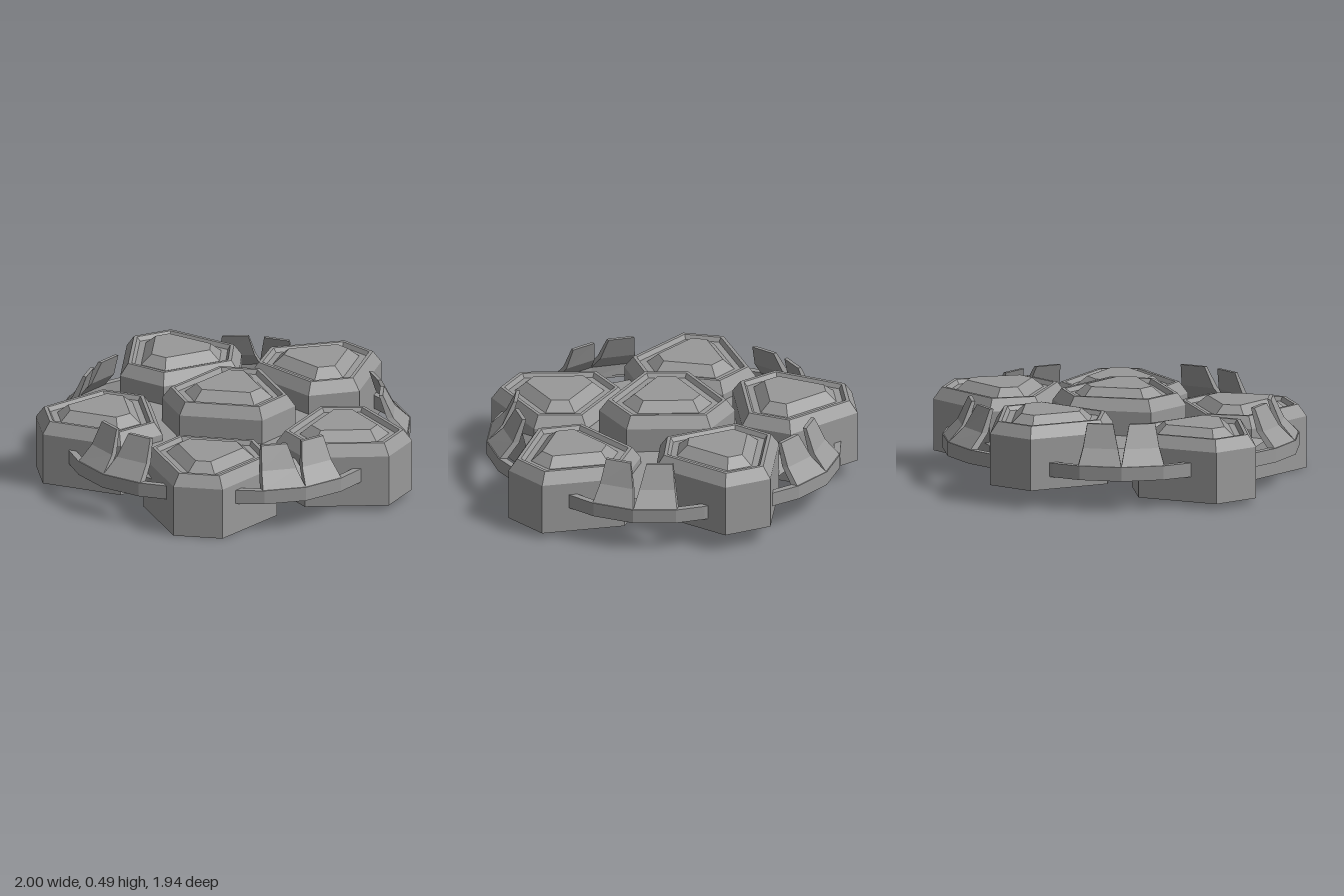
import * as THREE from 'three';

const material = new THREE.MeshStandardMaterial({ color: 0x999999, flatShading: true, side: THREE.DoubleSide });

// Skin closed cross-sections (equal point counts) into a flat-shaded surface.
function loft(sections, capStart, capEnd) {
  const pos = [];
  const tri = (a, b, c) => pos.push(...a, ...b, ...c);
  const n = sections[0].length;
  for (let s = 0; s < sections.length - 1; s++) {
    const a = sections[s], b = sections[s + 1];
    for (let i = 0; i < n; i++) {
      const j = (i + 1) % n;
      tri(a[i], a[j], b[j]);
      tri(a[i], b[j], b[i]);
    }
  }
  const first = sections[0], last = sections[sections.length - 1];
  for (let i = 1; i < n - 1; i++) {
    if (capStart) tri(first[0], first[i + 1], first[i]);
    if (capEnd) tri(last[0], last[i], last[i + 1]);
  }
  const g = new THREE.BufferGeometry();
  g.setAttribute('position', new THREE.Float32BufferAttribute(pos, 3));
  g.computeVertexNormals();
  return g;
}

function part(name, geometry) {
  const mesh = new THREE.Mesh(geometry, material);
  mesh.name = name;
  return mesh;
}

// Move every edge of a convex outline inwards by d.
function inset(poly, d) {
  const n = poly.length;
  const edge = (i) => {
    const [x0, z0] = poly[i % n], [x1, z1] = poly[(i + 1) % n];
    const l = Math.hypot(x1 - x0, z1 - z0);
    const nx = (z1 - z0) / l, nz = (x0 - x1) / l; // inward normal
    return [nx, nz, nx * x0 + nz * z0 + d];
  };
  return poly.map((_, i) => {
    const [a, b, c] = edge(i + n - 1), [e, f, g] = edge(i);
    const det = a * f - b * e;
    return [(c * f - b * g) / det, (a * g - c * e) / det];
  });
}

// Shell plate: six-sided, narrow end to +z, open underneath.
const outline = [[-0.13, 0.31], [0.13, 0.31], [0.355, -0.07], [0.22, -0.31], [-0.22, -0.31], [-0.355, -0.07]];
const plateProfile = [[0, 0], [0, 0.275], [0.04, 0.337], [0.058, 0.337], [0.072, 0.315], [0.105, 0.317], [0.158, 0.367]];
const plateGeometry = loft(
  plateProfile.map(([d, y]) => inset(outline, d).map(([x, z]) => [x, y, z])), false, true);

// Curved guard bar, bowed outwards along +z, its ends sunk into the plates.
const bow = (x) => -0.9 * x * x;
const guardGeometry = loft([-0.47, -0.36, -0.22, 0, 0.22, 0.36, 0.47].map((x) => {
  const out = 0.955 + bow(x), inn = out - 0.04;
  return [[x, 0.24, inn], [x, 0.24, out], [x, 0.165, out], [x, 0.165, inn]];
}), true, true);

// Claw rising from the guard and leaning inwards; side mirrors it.
const clawRows = [[0.18, 0, 0.24, 0.95, 0.04], [0.24, 0, 0.225, 0.95, 0.04],
  [0.32, 0.017, 0.2, 0.87, 0.035], [0.44, 0.042, 0.178, 0.81, 0.02]];
function clawGeometry(side) {
  return loft(clawRows.map(([y, x0, x1, r, t]) => {
    const p = [[x0, r], [x1, r], [x1, r - t], [x0, r - t]]
      .map(([x, z]) => [x * side, y, z + bow(x)]);
    return side < 0 ? p.reverse() : p;
  }), true, true);
}

// Five-sided dish that carries the plates.
const dishGeometry = loft([[0.735, 0.2], [0.62, 0.27]].map(([apothem, y]) =>
  Array.from({ length: 5 }, (_, i) => {
    const a = i * Math.PI * 0.4, r = apothem / Math.cos(Math.PI / 5);
    return [r * Math.sin(a), y, r * Math.cos(a)];
  })), false, true);

export function createModel() {
  const model = new THREE.Group();
  model.name = 'platedShell';
  model.add(part('baseDish', dishGeometry));

  const addPlate = (name, x, y, z, angle) => {
    const plate = part(name, plateGeometry);
    plate.position.set(x, y, z);
    plate.rotation.y = THREE.MathUtils.degToRad(angle);
    model.add(plate);
  };

  // Guard with a pair of claws, standing in a gap between outer plates
  const addGuard = (angle) => {
    const guard = new THREE.Group();
    guard.name = 'clawGuard';
    guard.add(part('guardBar', guardGeometry));
    for (const side of [-1, 1]) guard.add(part('claw', clawGeometry(side)));
    guard.rotation.y = THREE.MathUtils.degToRad(angle);
    guard.position.z = -0.016;
    model.add(guard);
  };

  // Centre plate has its wide end to the front; the rest step up to the back
  addPlate('centrePlate', 0, 0.125, -0.037, 180);
  addPlate('frontPlate', 0, 0, 0.66, 0);
  addGuard(180);
  for (const side of [-1, 1]) {
    addPlate('sidePlate', side * 0.666, 0.03, 0.205, side * 72);
    addPlate('backPlate', side * 0.39, 0.098, -0.567, side * 144);
    addGuard(side * 34.5);
    addGuard(side * 108.3);
  }
  return model;
}
